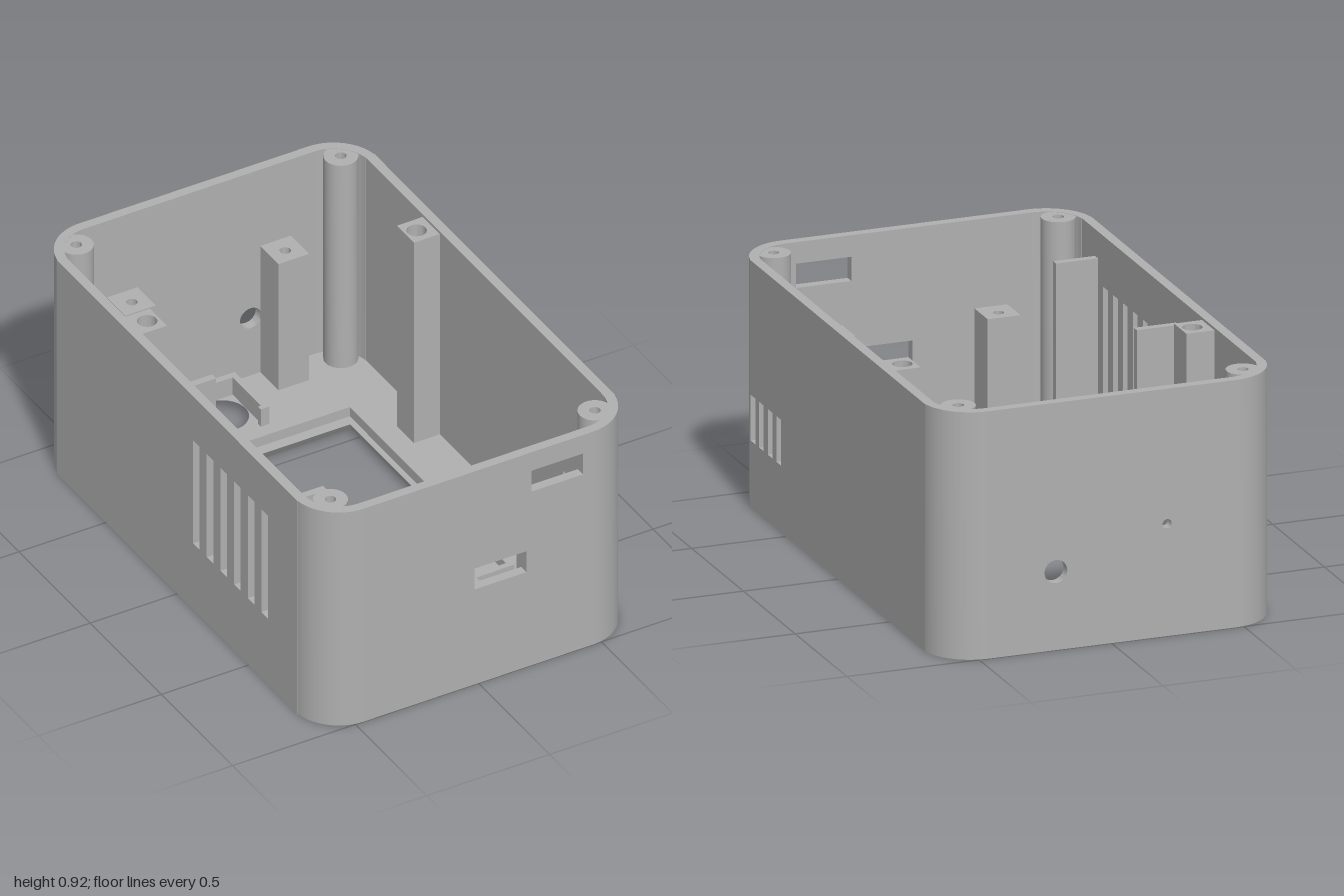
import * as THREE from 'three';
import { toCreasedNormals } from 'three/addons/utils/BufferGeometryUtils.js';

const W = 0.645, D = 1, H = 0.92, T = 0.037, R = 0.18, FLOOR = 0.045;

// Shapes are drawn in (x, -z) so that extruding goes upward after rotation.
const poly = (pts) => new THREE.Shape(pts.map(([x, z]) => new THREE.Vector2(x, -z)));
const rect = (x0, x1, z0, z1) => poly([[x0, z0], [x0, z1], [x1, z1], [x1, z0]]);
const disc = (x, z, r) => new THREE.Shape().absarc(x, -z, r, 0, Math.PI * 2);

function roundedRect(w, d, r) {
  const s = new THREE.Shape();
  [[1, 1], [-1, 1], [-1, -1], [1, -1]].forEach(([sx, sy], i) =>
    s.absarc(sx * (w - r), sy * (d - r), r, i * Math.PI / 2, (i + 1) * Math.PI / 2));
  return s;
}

function withHoles(shape, ...holes) {
  shape.holes.push(...holes);
  return shape;
}

export function createModel() {
  const group = new THREE.Group();
  const material = new THREE.MeshStandardMaterial({ color: 0xb0b0b0, side: THREE.DoubleSide });
  material.name = 'grey plastic';

  const add = (name, geometry) => {
    const mesh = new THREE.Mesh(geometry, material);
    mesh.name = name;
    group.add(mesh);
    return mesh;
  };
  const extrude = (shape, depth) => toCreasedNormals(
    new THREE.ExtrudeGeometry(shape, { depth, bevelEnabled: false, curveSegments: 16 }), 0.5);
  const slab = (name, shape, y0, y1) =>
    add(name, extrude(shape, y1 - y0).rotateX(-Math.PI / 2).translate(0, y0, 0));

  // Upright wall panel with openings given as [u0, u1, y0, y1] or circles [u, y, r]
  function panel(halfWidth, openings) {
    const box = (a, b, c, d) => new THREE.Shape([
      new THREE.Vector2(a, c), new THREE.Vector2(b, c),
      new THREE.Vector2(b, d), new THREE.Vector2(a, d)]);
    const holes = openings.map((o) => o.length === 3
      ? new THREE.Shape().absarc(o[0], o[1], o[2], 0, Math.PI * 2) : box(...o));
    return extrude(withHoles(box(-halfWidth, halfWidth, 0, H), ...holes), T);
  }

  // Front wall with two connector openings, back wall with two round holes
  add('frontWall', panel(W - R, [[0.215, 0.425, 0.75, 0.84], [-0.015, 0.195, 0.41, 0.5]]))
    .position.z = D - T;
  add('backWall', panel(W - R, [[0.21, 0.292, 0.043], [-0.21, 0.418, 0.017]]))
    .position.z = -D;

  // Side walls with ventilation slots (u runs along -z)
  const sideHalf = D - R + 0.025;
  const shortVents = [0.815, 0.733, 0.65, 0.567].map((z) => [-z - 0.022, -z + 0.022, 0.25, 0.42]);
  const longVents = [];
  for (let i = 0; i < 6; i++) {
    const z = 0.133 + i * 0.096;
    longVents.push([-z - 0.023, -z + 0.023, 0.285, 0.73]);
  }
  add('leftWall', panel(sideHalf, shortVents).rotateY(Math.PI / 2)).position.x = W - T;
  add('rightWall', panel(sideHalf, longVents).rotateY(Math.PI / 2)).position.x = -W;

  // Rounded wall corners
  const a0 = Math.asin(0.025 / R);
  for (const sx of [1, -1]) for (const sz of [1, -1]) {
    const start = sx * sz > 0 ? a0 : Math.PI / 2;
    const end = sx * sz > 0 ? Math.PI / 2 : Math.PI - a0;
    const turn = sz < 0 ? Math.PI : 0;
    const s = new THREE.Shape();
    const cx = sx * (W - R), cy = sz * (D - R);
    s.absarc(cx, cy, R, start + turn, end + turn, false);
    s.absarc(cx, cy, R - T, end + turn, start + turn, true);
    slab('wallCorner', s, 0, H);
  }

  // Floor: two skins joined by a bevelled window and a countersunk round hole
  const low = [-0.385, 0.385, -0.56, 0.38], high = [-0.364, 0.364, -0.53, 0.35];
  const skin = (name, win, r, y) => add(name, new THREE.ShapeGeometry(
    withHoles(roundedRect(W - T, D - T, R - T), rect(...win), disc(0, -0.8, r)), 24)
    .rotateX(-Math.PI / 2).translate(0, y, 0));
  skin('floorUnderside', low, 0.168, 0);
  skin('floorTop', high, 0.095, FLOOR);
  const loop = ([x0, x1, z0, z1], y) => [[x0, y, z0], [x1, y, z0], [x1, y, z1], [x0, y, z1]];
  const a = loop(low, 0), b = loop(high, FLOOR), verts = [];
  for (let i = 0; i < 4; i++) {
    const j = (i + 1) % 4;
    verts.push(...a[i], ...a[j], ...b[j], ...a[i], ...b[j], ...b[i]);
  }
  const bevel = new THREE.BufferGeometry();
  bevel.setAttribute('position', new THREE.Float32BufferAttribute(verts, 3));
  bevel.computeVertexNormals();
  add('windowBevel', bevel);
  add('roundHoleCountersink', new THREE.CylinderGeometry(0.095, 0.168, FLOOR, 48, 1, true)
    .translate(0, FLOOR / 2, -0.8));

  // Screw posts and standoffs, mirrored left and right
  for (const s of [1, -1]) {
    for (const z of [-0.895, 0.89]) {
      slab('cornerScrewPost', withHoles(disc(s * 0.538, z, 0.062), disc(s * 0.538, z, 0.02)),
        FLOOR, H - 0.001);
      const zc = Math.sign(z) * 0.9;
      slab('boardStandoff', withHoles(
        rect(s * 0.312 - 0.062, s * 0.312 + 0.062, zc - 0.065, zc + 0.065),
        disc(s * 0.312, z, 0.02)), FLOOR, 0.59);
    }
    slab('sideStandoff', withHoles(
      rect(s * 0.555 - 0.053, s * 0.555 + 0.053, -0.44, -0.32),
      disc(s * 0.548, -0.38, 0.036)), FLOOR, 0.91);
  }

  // Thin guide ribs on the right wall
  for (const z of [-0.08, 0.7]) slab('guideRib', rect(-0.61, -0.45, z - 0.014, z + 0.014), FLOOR, 0.82);

  // Low screen frame, open at the front middle
  slab('screenFrame', poly([
    [-0.19, 0.545], [-0.41, 0.545], [-0.41, -0.596], [0.41, -0.596], [0.41, 0.545], [0.19, 0.545],
    [0.19, 0.522], [0.388, 0.522], [0.388, -0.573], [-0.388, -0.573], [-0.388, 0.522], [-0.19, 0.522],
  ]), FLOOR, 0.085);

  // Low tray in front of the screen
  slab('trayFrame', withHoles(rect(-0.255, 0.255, 0.547, 0.94), rect(-0.235, 0.233, 0.57, 0.917)),
    FLOOR, 0.085);

  // Clip bracket around the round hole
  slab('clipBracket', poly([
    [-0.085, -0.675], [-0.12, -0.675], [-0.12, -0.918], [0.12, -0.918], [0.12, -0.675], [0.085, -0.675],
    [0.085, -0.695], [0.097, -0.695], [0.097, -0.893], [-0.097, -0.893], [-0.097, -0.695], [-0.085, -0.695],
  ]), FLOOR, 0.12);

  return group;
}
